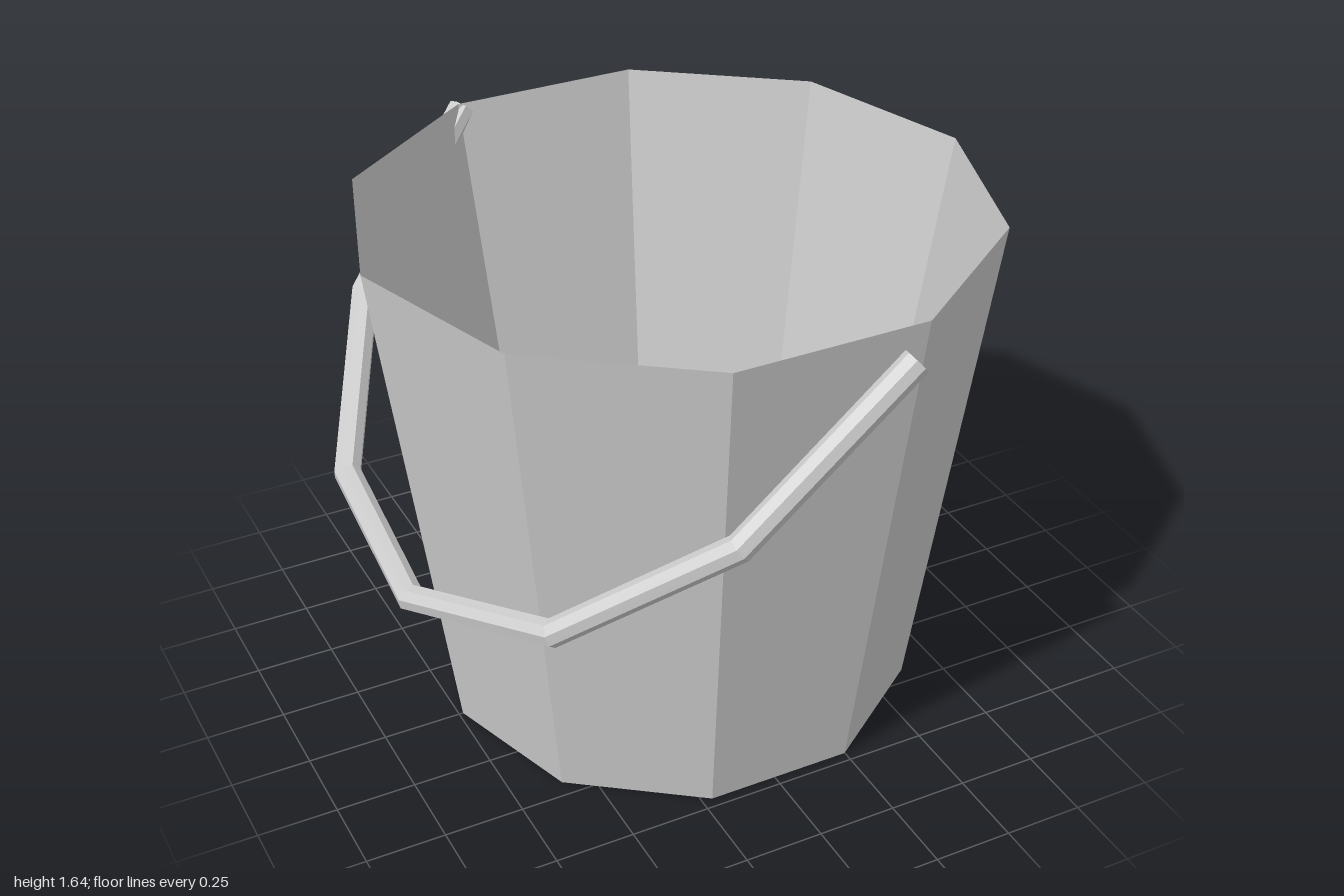
import * as THREE from 'three';

// Straight-sided path through corner points, with a bisecting tangent at each corner
class BentPath extends THREE.Curve {
  constructor(points) {
    super();
    this.points = points;
  }
  getPoint(t, target = new THREE.Vector3()) {
    const n = this.points.length - 1;
    const i = Math.min(Math.floor(t * n + 1e-6), n - 1);
    return target.lerpVectors(this.points[i], this.points[i + 1], t * n - i);
  }
  getPointAt(u, target) {
    return this.getPoint(u, target);
  }
  getTangentAt(u, target = new THREE.Vector3()) {
    const p = this.points, i = Math.round(u * (p.length - 1));
    target.set(0, 0, 0);
    if (i > 0) target.add(p[i].clone().sub(p[i - 1]).normalize());
    if (i < p.length - 1) target.add(p[i + 1].clone().sub(p[i]).normalize());
    return target.normalize();
  }
}

export function createModel() {
  const model = new THREE.Group();
  model.name = 'bucket';
  const material = new THREE.MeshStandardMaterial({ color: 0xcccccc, flatShading: true });

  const add = (name, geometry, parent) => {
    const mesh = new THREE.Mesh(geometry, material);
    mesh.name = name;
    parent.add(mesh);
    return mesh;
  };

  // Ten-sided pail: base, outer wall, knife-edge rim, inner wall, floor
  const profile = [[0, 0], [0.753, 0], [0.972, 1.64], [0.7, 0.07], [0, 0.07]]
    .map(([r, y]) => new THREE.Vector2(r, y));
  const pail = add('pail', new THREE.LatheGeometry(profile, 10, Math.PI / 2), model);
  pail.position.x = 0.016;

  // Bent handle hanging down on the right side
  const handle = new THREE.Group();
  handle.name = 'handle';
  model.add(handle);
  const radius = 0.043, sides = 8;
  const corners = [
    [0.255, 1.55, 0.96], [-0.27, 1.1, 0.95], [-0.71, 0.78, 0.68], [-0.957, 0.68, 0.22],
    [-0.957, 0.82, -0.28], [-0.71, 1.17, -0.72], [-0.26, 1.61, -0.955],
  ].map((c) => new THREE.Vector3(...c));
  const path = new BentPath(corners);
  add('handleBar', new THREE.TubeGeometry(path, corners.length - 1, radius, sides), handle);

  // Flat caps closing both ends of the handle
  const forward = new THREE.Vector3(0, 0, 1);
  for (const [u, sign] of [[0, -1], [1, 1]]) {
    const cap = add('handleEnd', new THREE.CircleGeometry(radius, sides), handle);
    cap.position.copy(path.getPointAt(u));
    cap.quaternion.setFromUnitVectors(forward, path.getTangentAt(u).multiplyScalar(sign));
  }

  return model;
}
